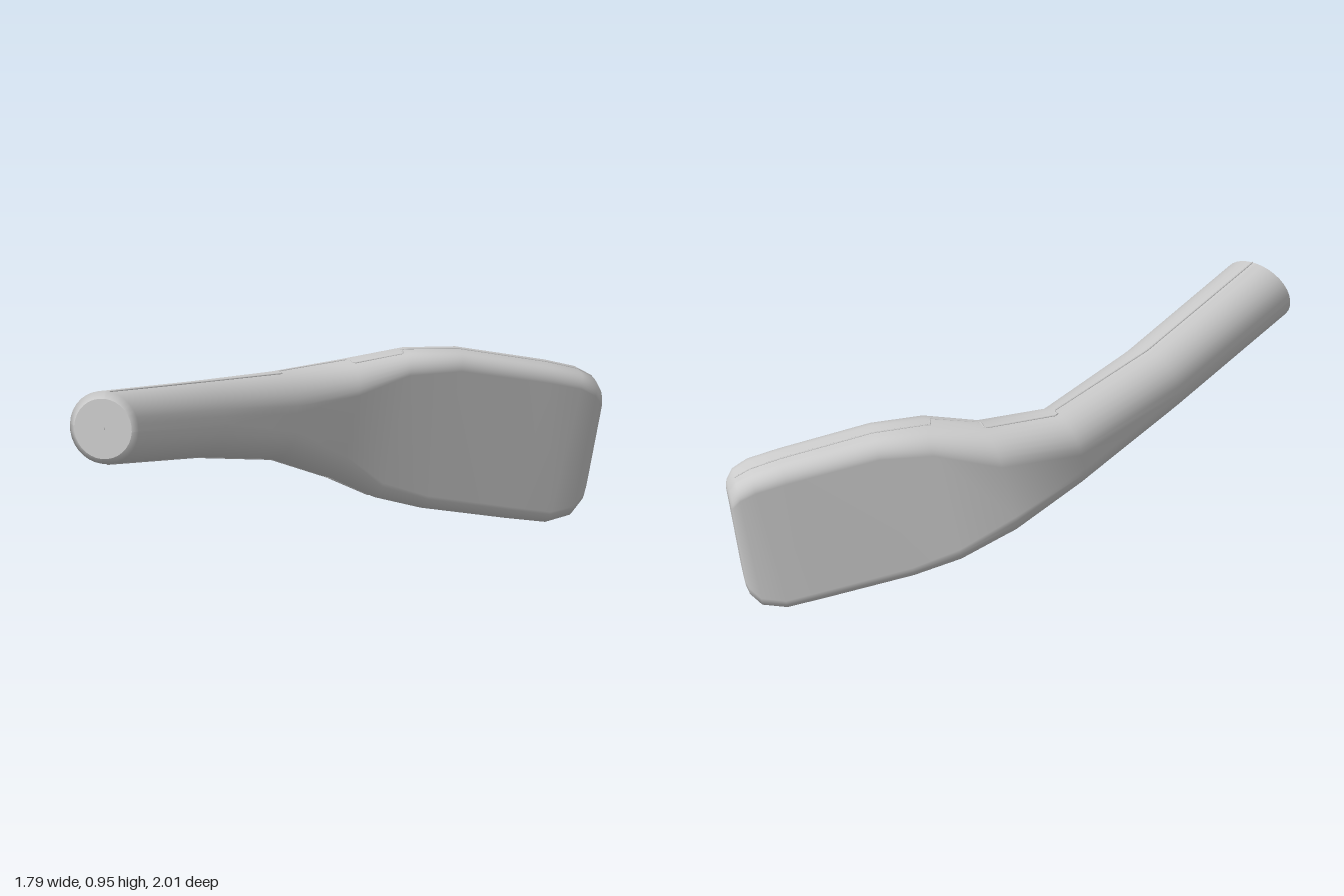
import * as THREE from 'three';

const V = (p) => new THREE.Vector3(...p);

// Stations along the body: top point, bottom point, thickness direction (x, z),
// half thickness, corner radius
const blade = (tx, ty, bx, by, w, r) =>
  [[tx, ty, (-0.31 - 0.54 * tx) / 0.84], [bx, by, (-0.37 - 0.54 * bx) / 0.84], [0.54, 0.84], w, r];
const stations = [
  [[-0.727, 0.92, 0.965], [-0.727, 0.665, 1.0], [1, 0.07], 0.13, 0.13],
  [[-0.727, 0.946, 0.94], [-0.727, 0.64, 0.985], [1, 0.1], 0.157, 0.153],
  [[-0.51, 0.835, 0.33], [-0.51, 0.52, 0.38], [0.3, 0.09], 0.155, 0.154],
  [[-0.29, 0.765, -0.14], [-0.32, 0.4, -0.08], [0.25, 0.15], 0.146, 0.145],
  [[-0.05, 0.775, -0.36], [-0.15, 0.27, -0.32], [0.2, 0.19], 0.135, 0.125],
  blade(0.17, 0.806, 0.02, 0.165, 0.115, 0.085),
  blade(0.36, 0.79, 0.19, 0.104, 0.108, 0.07),
  blade(0.69, 0.7, 0.5, 0.03, 0.105, 0.065),
  blade(0.8, 0.66, 0.645, 0.0, 0.105, 0.06),
  blade(0.853, 0.622, 0.735, 0.02, 0.098, 0.06),
  blade(0.874, 0.575, 0.778, 0.075, 0.085, 0.055),
  blade(0.878, 0.55, 0.79, 0.11, 0.07, 0.05),
].map(([t, b, n, w, r]) => {
  const top = V(t), bottom = V(b);
  return {
    top, bottom, w, r,
    centre: top.clone().add(bottom).multiplyScalar(0.5),
    side: new THREE.Vector3(n[0], 0, n[1]).normalize(),
    up: top.clone().sub(bottom).normalize(),
    h: top.distanceTo(bottom) / 2,
  };
});

// Rounded-rectangle cross-section of one station
function ring({ centre, side, up, w, h, r }) {
  const pts = [], steps = 8;
  [[1, 1], [-1, 1], [-1, -1], [1, -1]].forEach(([sx, sy], q) => {
    for (let k = 0; k <= steps; k++) {
      const a = (q + k / steps) * Math.PI / 2;
      pts.push(centre.clone()
        .addScaledVector(side, sx * (w - r) + r * Math.cos(a))
        .addScaledVector(up, sy * (h - r) + r * Math.sin(a)));
    }
  });
  return pts;
}

// Skin through the rings, closed by a flat cap at each end
function loft(rings) {
  const n = rings[0].length, pos = [], index = [];
  rings.forEach((pts) => pts.forEach((p) => pos.push(p.x, p.y, p.z)));
  for (let i = 0; i < rings.length - 1; i++) {
    for (let j = 0; j < n; j++) {
      const a = i * n + j, b = i * n + (j + 1) % n;
      index.push(a, a + n, b, b, a + n, b + n);
    }
  }
  [rings[0], rings[rings.length - 1]].forEach((pts, e) => {
    const base = pos.length / 3;
    const c = pts.reduce((s, p) => s.add(p), new THREE.Vector3()).divideScalar(n);
    [c, ...pts].forEach((p) => pos.push(p.x, p.y, p.z));
    for (let j = 0; j < n; j++) {
      const a = base + 1 + j, b = base + 1 + (j + 1) % n;
      index.push(base, e ? b : a, e ? a : b);
    }
  });
  const g = new THREE.BufferGeometry();
  g.setAttribute('position', new THREE.Float32BufferAttribute(pos, 3));
  g.setIndex(index);
  g.computeVertexNormals();
  return g;
}

// Point on the upper (or lower) edge at fractional station f, shifted sideways
function edgePoint(f, shift, end) {
  const i = Math.min(Math.floor(f), stations.length - 2), t = f - i;
  const at = (s) => {
    const over = Math.max(0, Math.abs(shift) - (s.w - s.r));
    const drop = s.r - Math.sqrt(s.r * s.r - over * over);
    return s[end].clone().addScaledVector(s.side, shift)
      .addScaledVector(s.up, end === 'top' ? -drop : drop);
  };
  return at(stations[i]).lerp(at(stations[i + 1]), t);
}

// Stepped parting line, as [station, sideways shift]
const seamSteps = [[1, 0.015], [2, 0.015], [3, 0.025], [3, -0.01], [4, -0.01],
  [4, 0.04], [4.9, 0.04], [4.9, -0.01], [5, -0.01], [6, -0.01], [7, -0.01], [8, -0.01], [9, -0.01]];

function seam(end) {
  const path = new THREE.CurvePath();
  const pts = seamSteps.map(([f, s]) => edgePoint(f, s, end));
  for (let i = 1; i < pts.length; i++) path.add(new THREE.LineCurve3(pts[i - 1], pts[i]));
  return new THREE.TubeGeometry(path, 160, 0.004, 6, false);
}

export function createModel() {
  const group = new THREE.Group();
  const material = new THREE.MeshStandardMaterial({ color: 0xcccccc });
  const add = (geometry, name) => {
    const mesh = new THREE.Mesh(geometry, material);
    mesh.name = name;
    group.add(mesh);
    return mesh;
  };

  // Round grip bending into the flat blade
  add(loft(stations.map(ring)), 'gripAndBlade');

  // Parting line between the two shell halves
  add(seam('top'), 'upperSeam');
  add(seam('bottom'), 'lowerSeam');

  // Small pin in the middle of the grip end
  const pin = add(new THREE.CylinderGeometry(0.009, 0.009, 0.01, 12), 'endPin');
  const s = stations[0];
  pin.position.copy(s.centre);
  pin.quaternion.setFromUnitVectors(new THREE.Vector3(0, 1, 0), s.side.clone().cross(s.up).normalize());

  return group;
}
